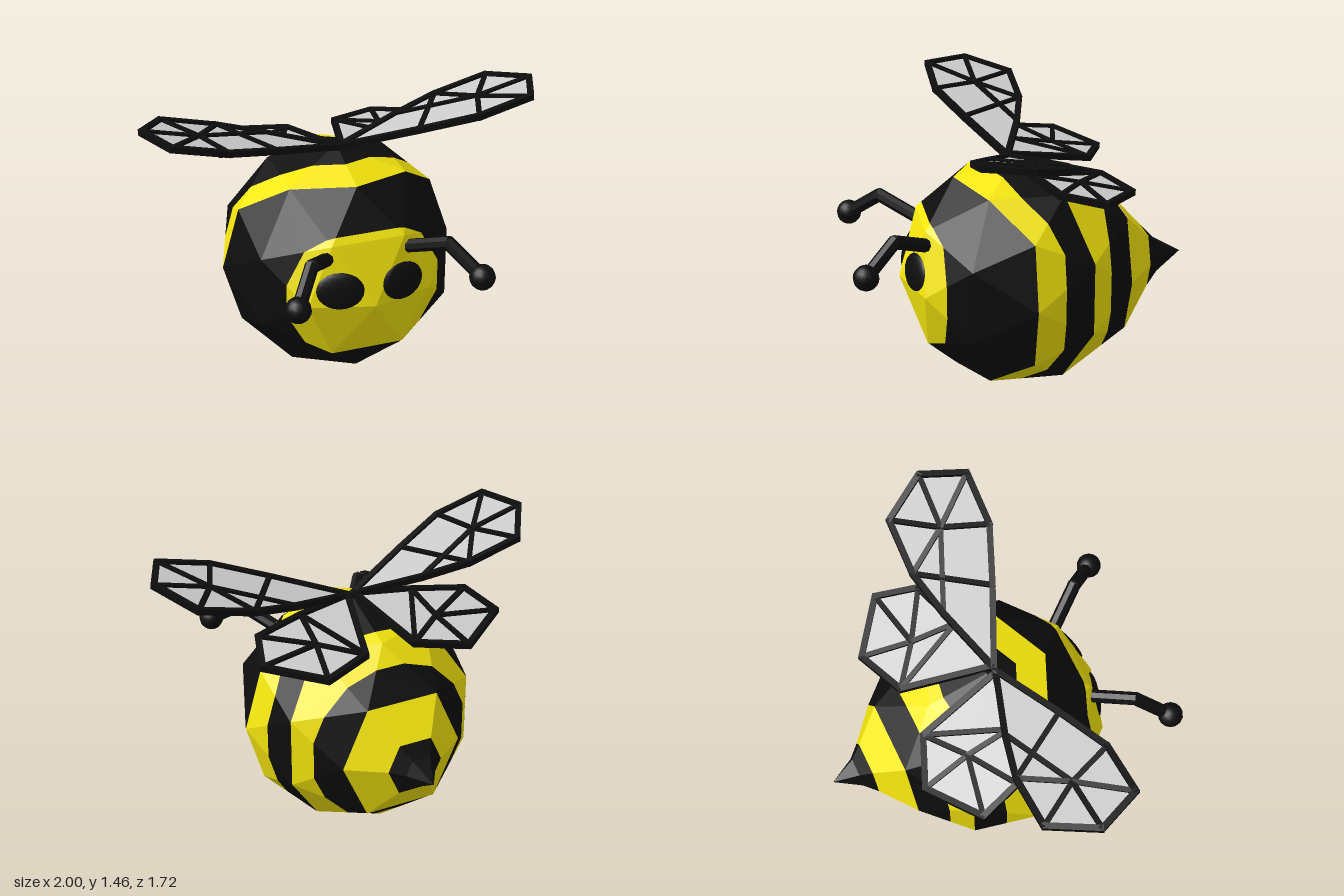
import * as THREE from 'three';

const black = new THREE.MeshStandardMaterial({ color: 0x0d0d0d, flatShading: true });
const blackSmooth = new THREE.MeshStandardMaterial({ color: 0x0d0d0d });
const yellow = new THREE.MeshStandardMaterial({ color: 0xf5e60d, flatShading: true });
const membraneMat = new THREE.MeshStandardMaterial({ color: 0xcccccc, side: THREE.DoubleSide });
const V = (x, y, z) => new THREE.Vector3(x, y, z);

function add(parent, name, geometry, material) {
  const mesh = new THREE.Mesh(geometry, material);
  mesh.name = name;
  parent.add(mesh);
  return mesh;
}

function trianglesToGeometry(tris) {
  const g = new THREE.BufferGeometry();
  const pos = tris.flatMap(t => t.flatMap(v => v.slice(0, 3)));
  g.setAttribute('position', new THREE.Float32BufferAttribute(pos, 3));
  g.computeVertexNormals();
  return g;
}

// Stripe edges: each field is zero along one edge and positive in front of it
function stripeFields(x, y, z) {
  const ax = Math.abs(x), clamp = THREE.MathUtils.clamp;
  const face = z - 0.41 - (Math.abs(y) > 0.45 ? (y > 0 ? 0.3 : 3) : 0);
  const chevron = z - 0.313 * (1 - Math.pow(Math.min(1, ax / 0.506), 1.7));
  const second = z + 0.184 + 0.05 * clamp(1 - ax / 0.3, 0, 1) + 0.116 * clamp((ax - 0.3) / 0.18, 0, 1);
  return [face, chevron, chevron + 0.16, second, z + 0.4];
}

// Keep the part of a polygon where value k has the given sign
function clip(poly, k, sign) {
  const out = [];
  poly.forEach((a, i) => {
    const b = poly[(i + 1) % poly.length];
    const fa = a[k] * sign, fb = b[k] * sign;
    if (fa >= -1e-4) out.push(a);
    if ((fa > 1e-4 && fb < -1e-4) || (fa < -1e-4 && fb > 1e-4)) {
      const t = fa / (fa - fb);
      out.push(a.map((v, j) => v + (b[j] - v) * t));
    }
  });
  return out;
}

function buildBody(parent) {
  const bands = [[], []]; // yellow, black triangles
  const fan = (poly, band) => {
    for (let i = 1; i < poly.length - 1; i++) bands[band].push([poly[0], poly[i], poly[i + 1]]);
  };

  // Faceted ball, cut into stripes from front to back
  const p = new THREE.IcosahedronGeometry(0.595, 1).rotateY(Math.PI / 2).attributes.position;
  for (let i = 0; i < p.count; i += 3) {
    const corners = [0, 1, 2].map(j => [p.getX(i + j), p.getY(i + j), p.getZ(i + j)]);
    if (corners.some(c => c[2] < -0.55)) continue; // opening for the tail
    let rest = corners.map(([x, y, z]) => {
      const zz = z < -0.45 ? -0.53 : z;
      return [x, y, zz, ...stripeFields(x, y, zz)];
    });
    for (let k = 0; k < 5 && rest.length > 2; k++) {
      // drop slivers that only touch the edge
      if (rest.some(v => v[3 + k] > 1e-4)) fan(clip(rest, 3 + k, 1), k % 2);
      rest = rest.some(v => v[3 + k] < -1e-4) ? clip(rest, 3 + k, -1) : [];
    }
    fan(rest, 1);
  }

  // Six-sided tail narrowing to the sting
  const hex = [[0.313, 0], [0.184, 0.3], [-0.184, 0.3], [-0.313, 0], [-0.184, -0.3], [0.184, -0.3]];
  const rings = [[-0.53, 1, 0], [-0.67, 0.45, 0.02], [-0.73, 0.25, 0.02], [-0.86, 0, 0.03]]
    .map(([z, s, dy]) => hex.map(([x, y]) => [x * s, y * s + dy, z]));
  for (let r = 0; r < 3; r++) {
    for (let j = 0; j < 6; j++) {
      const n = (j + 1) % 6, a = rings[r], b = rings[r + 1];
      fan(r < 2 ? [a[j], b[j], b[n], a[n]] : [a[j], b[j], a[n]], r ? 1 : 0);
    }
  }
  add(parent, 'yellowStripes', trianglesToGeometry(bands[0]), yellow).position.y = 0.6;
  add(parent, 'blackStripes', trianglesToGeometry(bands[1]), black).position.y = 0.6;
}

// Square bar between two points
function bar(parent, name, a, b, w) {
  const m = add(parent, name, new THREE.BoxGeometry(w, w, a.distanceTo(b) + w * 0.6), black);
  m.position.copy(a).add(b).multiplyScalar(0.5);
  m.lookAt(b);
}

// Wing: outline in (x, z), lifted by a height rule, with a hub and extra veins
function buildWing(parent, name, side, outline, hub, spokes, veins, height) {
  const wing = new THREE.Group();
  wing.name = name;
  const lift = ([x, z]) => V(x * side, height(x, z), z);
  const pts = outline.map(lift), h = lift(hub);
  const tris = pts.map((q, i) => [h.toArray(), q.toArray(), pts[(i + 1) % pts.length].toArray()]);
  add(wing, 'membrane', trianglesToGeometry(tris), membraneMat);
  pts.forEach((q, i) => bar(wing, 'wingRim', q, pts[(i + 1) % pts.length], 0.03));
  spokes.forEach(i => bar(wing, 'wingVein', h, pts[i], 0.025));
  veins.forEach(([i, j]) => bar(wing, 'wingVein', pts[i], pts[j], 0.025));
  parent.add(wing);
}

function buildAntenna(parent, side) {
  const antenna = new THREE.Group();
  antenna.name = side > 0 ? 'leftAntenna' : 'rightAntenna';
  const path = [V(0.21 * side, 0.835, 0.48), V(0.34 * side, 0.915, 0.65), V(0.455 * side, 0.79, 0.8)];
  for (let i = 0; i < 2; i++) {
    const d = path[i + 1].clone().sub(path[i]);
    const seg = add(antenna, 'stalk', new THREE.CylinderGeometry(0.034, 0.034, d.length() + 0.02, 8), black);
    seg.position.copy(path[i]).addScaledVector(d, 0.5);
    seg.quaternion.setFromUnitVectors(V(0, 1, 0), d.normalize());
  }
  add(antenna, 'antennaBall', new THREE.SphereGeometry(0.063, 14, 10), blackSmooth).position.copy(path[2]);
  parent.add(antenna);
}

export function createModel() {
  const bee = new THREE.Group();
  bee.name = 'bee';
  buildBody(bee);

  const foreOutline = [[0.01, 0.04], [0.34, -0.07], [0.57, -0.125], [0.845, -0.12], [0.98, 0.1],
    [0.89, 0.315], [0.625, 0.31], [0.36, 0.2]];
  const hindOutline = [[0.02, 0.03], [0.13, -0.4], [0.37, -0.5], [0.62, -0.315], [0.555, -0.11], [0.3, -0.03]];

  for (const side of [1, -1]) {
    const prefix = side > 0 ? 'left' : 'right';

    // Flattened eye lying on the face
    const eye = add(bee, prefix + 'Eye', new THREE.SphereGeometry(1, 18, 12), blackSmooth);
    eye.position.set(0.16 * side, 0.68, 0.53);
    eye.lookAt(eye.position.clone().add(V(0.28 * side, 0.2, 0.94)));
    eye.scale.set(0.118, 0.093, 0.025);

    buildAntenna(bee, side);
    buildWing(bee, prefix + 'ForeWing', side, foreOutline, [0.71, 0.09], [2, 3, 4, 5, 6, 1],
      [[2, 7]], (x, z) => 1.19 + 0.255 * x + 0.1 * z);
    buildWing(bee, prefix + 'HindWing', side, hindOutline, [0.32, -0.255], [1, 2, 3, 4, 5],
      [[1, 5]], (x, z) => 1.195 + 0.185 * z);
  }
  return bee;
}
